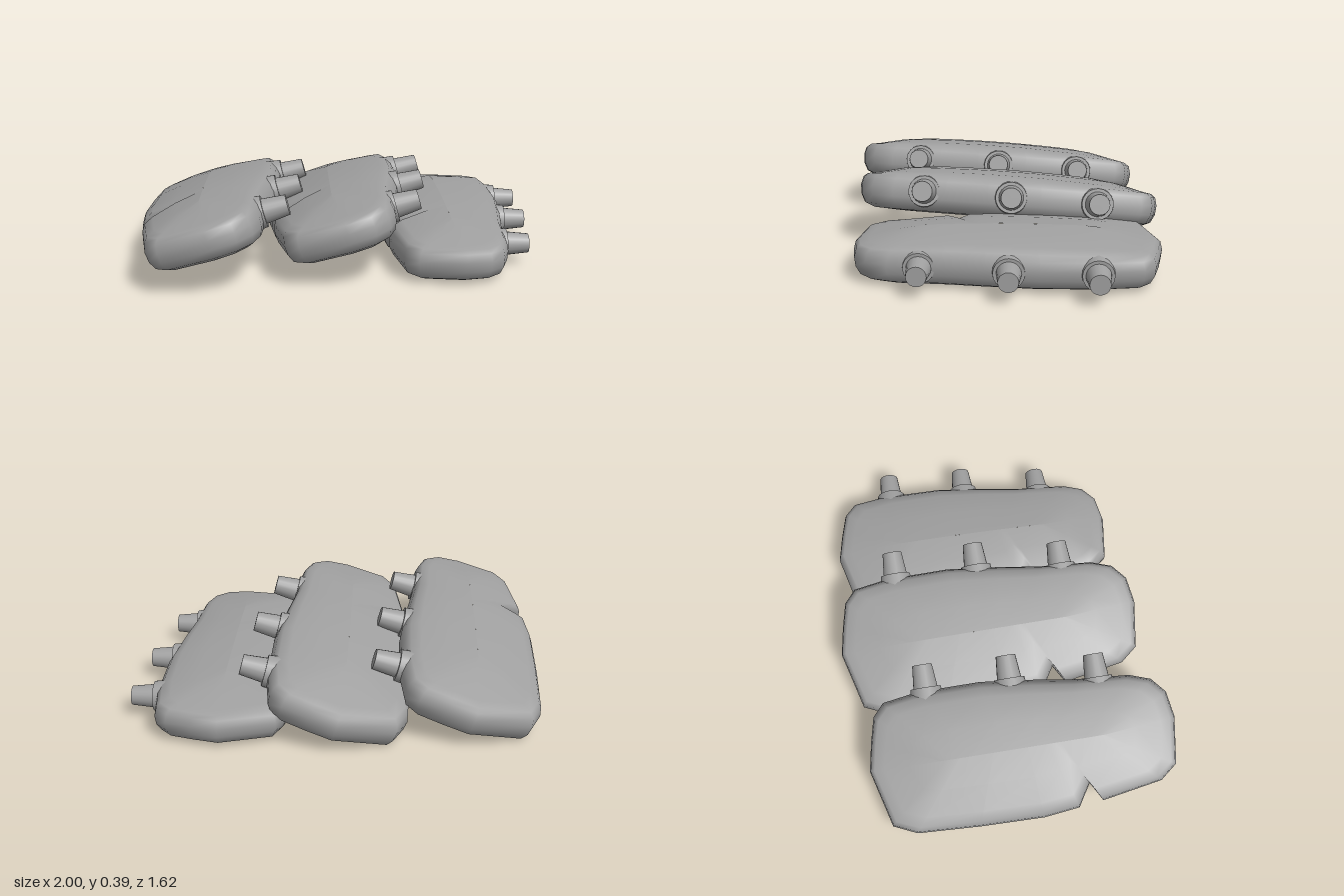
import * as THREE from 'three';

const grey = new THREE.MeshStandardMaterial({ color: 0xa0a0a0 });
grey.name = 'plain grey';

const HALF_W = 0.34, HALF_L = 0.73;

// plate outline seen from above, [x, z], with a notch on the right edge
const outline = [
  [0, -0.73], [0.13, -0.705], [0.25, -0.675], [0.31, -0.62], [0.335, -0.45], [0.335, -0.15],
  [0.305, 0.1], [0.275, 0.3], [0.255, 0.55], [0.22, 0.65], [0.15, 0.71], [0.03, 0.73],
  [-0.19, 0.70], [-0.255, 0.62], [-0.305, 0.335], [-0.215, 0.285], [-0.32, 0.22],
  [-0.34, 0.05], [-0.335, -0.25], [-0.32, -0.55], [-0.27, -0.66],
];

// edge profile from the underside to the top, [inset, y]
const profile = [
  [0.34, -0.115], [0.2, -0.112], [0.07, -0.104], [0.025, -0.085], [0.005, -0.045],
  [0, 0], [0.01, 0.04], [0.03, 0.07], [0.075, 0.092], [0.2, 0.113], [0.34, 0.123],
];

// domed plate made of rings that shrink to a central spine
function plateGeometry() {
  const pos = [], index = [], n = outline.length;
  for (const [inset, y] of profile) {
    for (const [x, z] of outline) {
      const px = x * (1 - inset / HALF_W), pz = z * (1 - inset / HALF_L);
      const droop = y > 0.05 ? 0.035 * (pz / HALF_L) ** 2 * Math.min(1, inset / 0.07) : 0;
      pos.push(px, y - droop, pz);
    }
  }
  for (let j = 0; j < profile.length - 1; j++) {
    for (let i = 0; i < n; i++) {
      const a = j * n + i, b = j * n + (i + 1) % n;
      index.push(a, a + n, b, b, a + n, b + n);
    }
  }
  const g = new THREE.BufferGeometry();
  g.setAttribute('position', new THREE.Float32BufferAttribute(pos, 3));
  g.setIndex(index);
  g.computeVertexNormals();
  return g;
}

// cylinder lying along +x, starting at x = 0
function peg(rTip, rBase, length) {
  return new THREE.CylinderGeometry(rTip, rBase, length, 20)
    .rotateZ(-Math.PI / 2).translate(length / 2, 0, 0);
}

export function createModel() {
  const model = new THREE.Group();
  model.name = 'overlappingPlates';
  const plateGeo = plateGeometry();
  const collarGeo = peg(0.073, 0.08, 0.06);
  const studGeo = peg(0.047, 0.066, 0.19);

  const add = (parent, geo, name, x = 0, y = 0, z = 0) => {
    const mesh = new THREE.Mesh(geo, grey);
    mesh.name = name;
    mesh.position.set(x, y, z);
    parent.add(mesh);
  };

  function segment(name, [x, y, z], scale, pitch, roll) {
    const g = new THREE.Group();
    g.name = name;
    add(g, plateGeo, 'plate');
    // three tapered studs along the left edge; [edge x, z]
    for (const [sx, sz] of [[0.255, 0.4], [0.315, -0.01], [0.335, -0.41]]) {
      add(g, collarGeo, 'studCollar', sx - 0.045, -0.01, sz);
      add(g, studGeo, 'stud', sx - 0.065, -0.01, sz);
    }
    g.position.set(x, y, z);
    g.rotation.set(pitch, 0, roll);
    g.scale.setScalar(scale);
    model.add(g);
  }

  segment('rightSegment', [-0.655, 0.24, 0.035], 1.06, -0.07, 0.27);
  segment('middleSegment', [-0.02, 0.237, -0.045], 1.06, -0.07, 0.27);
  segment('leftSegment', [0.54, 0.135, -0.05], 1, 0, 0);
  return model;
}
